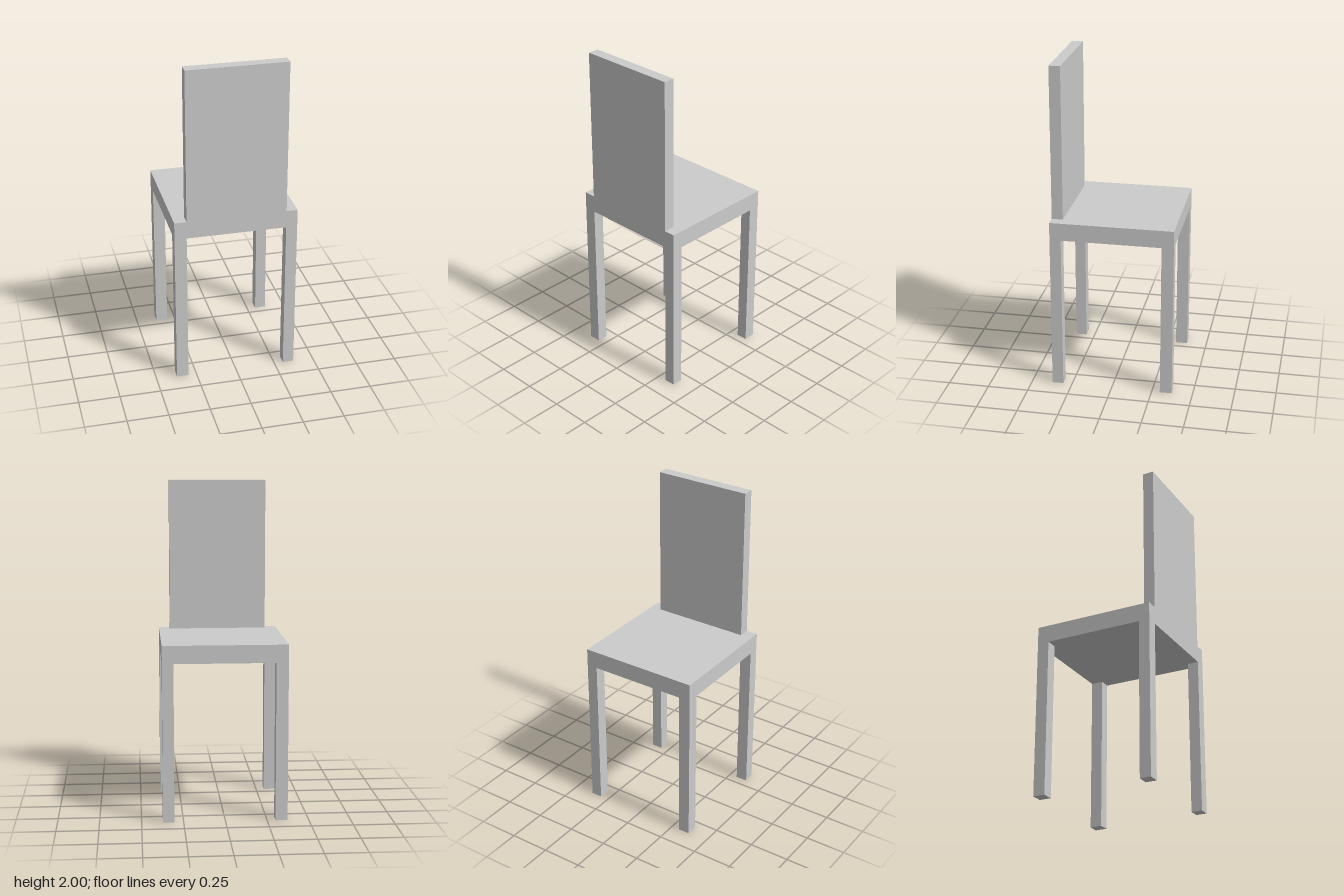
import * as THREE from 'three';

const HALF = 0.373;        // half the seat width and depth
const INNER_NEG = -0.30;   // inner face of the legs on the negative side
const INNER_POS = 0.305;   // inner face of the legs on the positive side
const SEAT_BOTTOM = 0.957;
const SEAT_TOP = 1.065;

export function createModel() {
  const chair = new THREE.Group();
  chair.name = 'chair';
  const material = new THREE.MeshStandardMaterial({ color: 0xcccccc, flatShading: true });

  // Box given by its extents along each axis
  function addBox(name, [x0, x1], [y0, y1], [z0, z1]) {
    const mesh = new THREE.Mesh(new THREE.BoxGeometry(x1 - x0, y1 - y0, z1 - z0), material);
    mesh.position.set((x0 + x1) / 2, (y0 + y1) / 2, (z0 + z1) / 2);
    mesh.name = name;
    chair.add(mesh);
  }

  // Seat slab
  addBox('seat', [-HALF, HALF], [SEAT_BOTTOM, SEAT_TOP], [-HALF, HALF]);

  // Upright panel, flush with the +z edge of the seat
  addBox('backrest', [INNER_NEG, INNER_POS], [SEAT_TOP, 2], [INNER_POS, HALF]);

  // Four square legs, flush with the seat corners
  const negative = [-HALF, INNER_NEG];
  const positive = [INNER_POS, HALF];
  for (const [side, x] of [['right', negative], ['left', positive]]) {
    for (const [end, z] of [['Back', negative], ['Front', positive]]) {
      addBox(`${side}${end}Leg`, x, [0, SEAT_BOTTOM], z);
    }
  }

  return chair;
}
